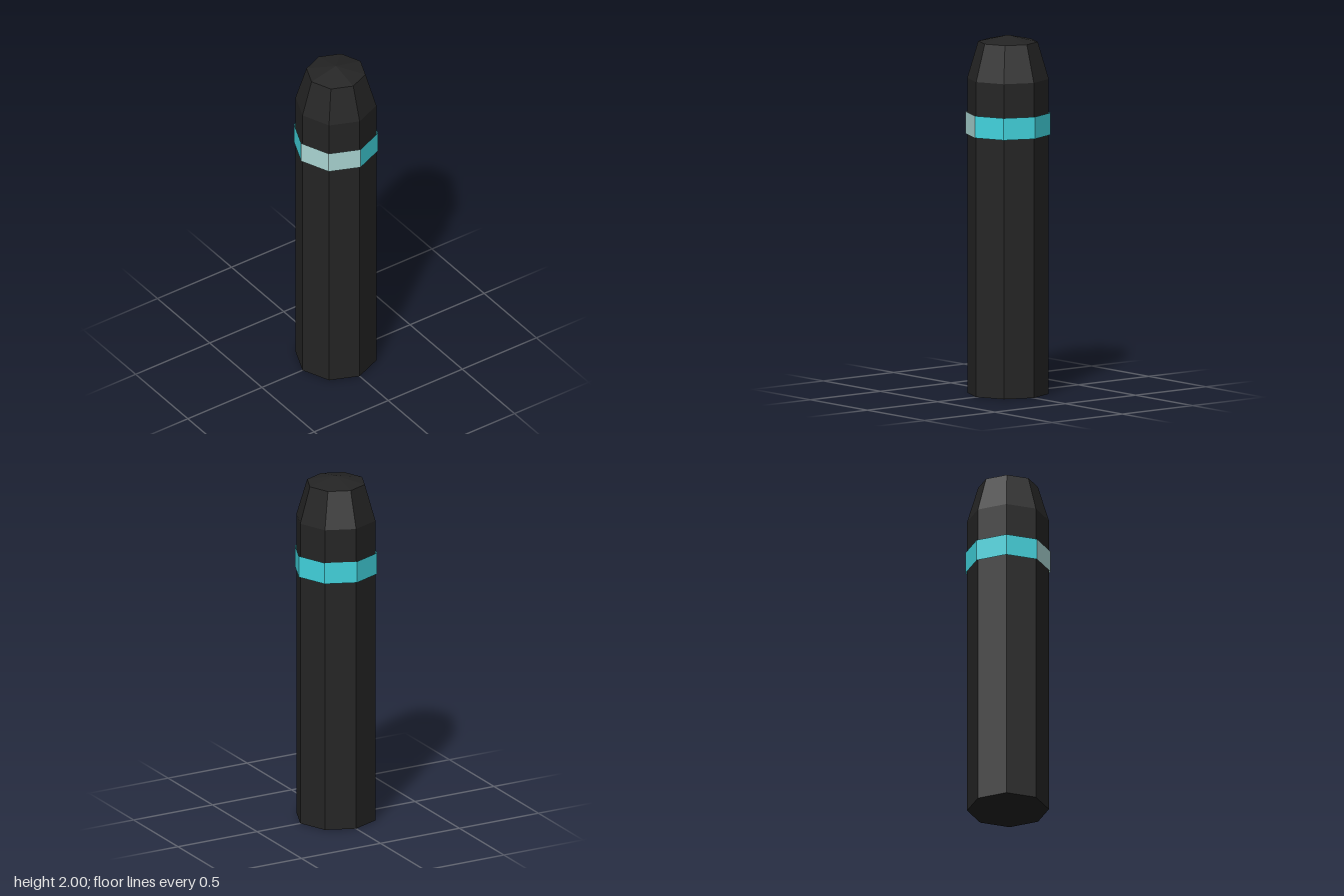
import * as THREE from 'three';

const SIDES = 8;

export function createModel() {
  const black = new THREE.MeshStandardMaterial({ name: 'black', color: 0x242424, flatShading: true });
  const teal = new THREE.MeshStandardMaterial({ name: 'teal', color: 0x42d4de, flatShading: true, side: THREE.DoubleSide });
  const pale = new THREE.MeshStandardMaterial({ name: 'paleTeal', color: 0xabd6d4, flatShading: true, side: THREE.DoubleSide });

  const model = new THREE.Group();
  model.name = 'bollard';
  const add = (name, geometry, material, y = 0) => {
    const mesh = new THREE.Mesh(geometry, material);
    mesh.name = name;
    mesh.position.y = y;
    model.add(mesh);
  };

  // Octagonal post with tapered head and shallow pointed cap
  const profile = [[0, 0], [0.226, 0], [0.226, 1.757], [0.165, 1.963], [0, 2]]
    .map(([r, y]) => new THREE.Vector2(r, y));
  add('post', new THREE.LatheGeometry(profile, SIDES), black);

  // Thin open band: two pale panels at the front left, teal on the other six
  const band = (first, count) => new THREE.CylinderGeometry(
    0.235, 0.235, 0.123, count, 1, true,
    first * Math.PI * 2 / SIDES, count * Math.PI * 2 / SIDES);
  add('reflectorPanels', band(0, 2), pale, 1.507);
  add('band', band(2, 6), teal, 1.507);

  return model;
}
